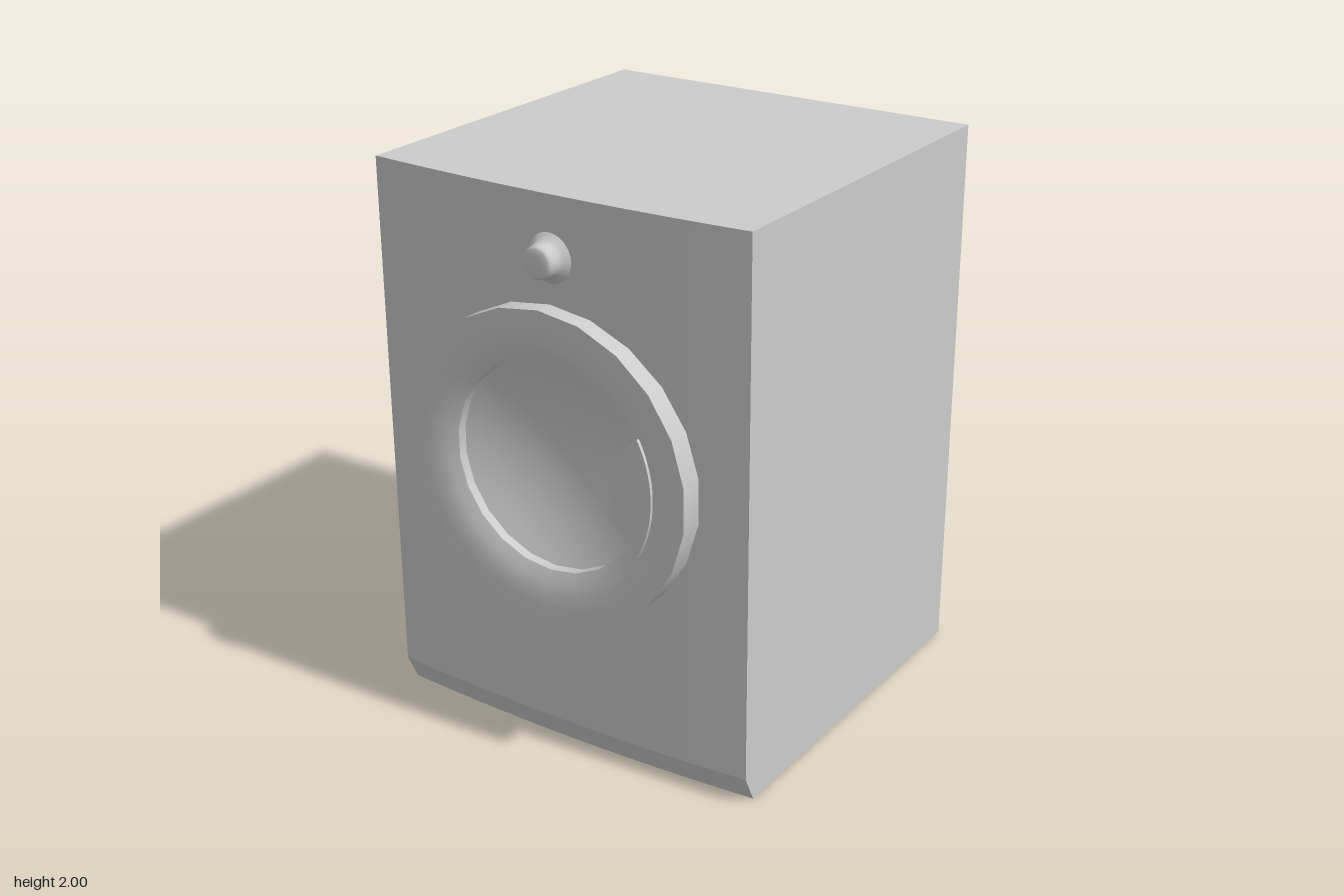
import * as THREE from 'three';

const HALF = 0.727, BACK = -0.765, KICK = 0.1, TOP = 2;
const DOOR = { x: -0.003, y: 1.077, r: 0.557 };

// Depth of the gently bowed front, which slants back below the kick line
function frontZ(x, y) {
  const mid = y < KICK ? 0.63 + 0.05 * (y / KICK) : 0.68 + 0.014 * ((y - KICK) / (TOP - KICK));
  return mid - 0.03 * (x / HALF) ** 2;
}

// Lathe turned to face +z; points are [radius, z]
function turned(points, sides) {
  return new THREE.LatheGeometry(points.map(([r, z]) => new THREE.Vector2(r, z)), sides).rotateX(Math.PI / 2);
}

// Box without its front face, front edges following the bowed line
function cabinetShell() {
  const geo = new THREE.BoxGeometry(2 * HALF, 2, 2, 16, 2, 1);
  const pos = geo.attributes.position;
  for (let i = 0; i < pos.count; i++) {
    const x = pos.getX(i), v = pos.getY(i);
    const y = v < -0.5 ? 0 : v > 0.5 ? TOP : KICK;
    pos.setXYZ(i, x, y, pos.getZ(i) < 0 ? BACK : frontZ(x, y));
  }
  const front = geo.groups[4];
  const index = Array.from(geo.index.array);
  index.splice(front.start, front.count);
  geo.setIndex(index);
  geo.clearGroups();
  return geo;
}

// Front sheet running from the round door opening out to the rectangle edge
function frontPanel() {
  const n = 16, steps = 8, hole = 0.5, edge = [];
  const corners = [[HALF, KICK], [HALF, TOP], [-HALF, TOP], [-HALF, KICK]];
  corners.forEach(([x, y], c) => {
    const [x2, y2] = corners[(c + 1) % 4];
    for (let i = 0; i < n; i++) edge.push([x + (x2 - x) * i / n, y + (y2 - y) * i / n]);
  });
  const pos = [], index = [], count = edge.length;
  for (let s = 0; s <= steps; s++) {
    for (const [ex, ey] of edge) {
      const a = Math.atan2(ey - DOOR.y, ex - DOOR.x), t = s / steps;
      const x = THREE.MathUtils.lerp(DOOR.x + hole * Math.cos(a), ex, t);
      const y = THREE.MathUtils.lerp(DOOR.y + hole * Math.sin(a), ey, t);
      pos.push(x, y, frontZ(x, y));
    }
  }
  for (let s = 0; s < steps; s++) {
    for (let i = 0; i < count; i++) {
      const a = s * count + i, b = s * count + (i + 1) % count;
      index.push(a, a + count, b, b, a + count, b + count);
    }
  }
  const geo = new THREE.BufferGeometry();
  geo.setAttribute('position', new THREE.Float32BufferAttribute(pos, 3));
  geo.setIndex(index);
  geo.computeVertexNormals();
  return geo;
}

// Slanted strip along the foot of the front
function kickStrip() {
  const geo = new THREE.PlaneGeometry(2 * HALF, KICK, 16, 1).translate(0, KICK / 2, 0);
  const pos = geo.attributes.position;
  for (let i = 0; i < pos.count; i++) pos.setZ(i, frontZ(pos.getX(i), pos.getY(i)));
  geo.computeVertexNormals();
  return geo;
}

// Lens-shaped plate between the door ring and a finger-grip arc
function handlePlate() {
  const shape = new THREE.Shape();
  const a = Math.asin(0.205 / 0.43), b = 0.965;
  shape.absarc(0, 0, 0.43, -a, a, false);
  shape.absarc(0.52, 0, 0.249, Math.PI - b, Math.PI + b, false);
  return new THREE.ExtrudeGeometry(shape, { depth: 0.04, bevelEnabled: false, curveSegments: 12 })
    .translate(0, 0, 0.72);
}

export function createModel() {
  const model = new THREE.Group();
  const material = new THREE.MeshStandardMaterial({ color: 0xcccccc, side: THREE.DoubleSide });
  const add = (name, geo, parent = model) => {
    const mesh = new THREE.Mesh(geo, material);
    mesh.name = name;
    parent.add(mesh);
    return mesh;
  };

  // Cabinet
  add('cabinet', cabinetShell());
  add('frontPanel', frontPanel());
  add('kickStrip', kickStrip());

  // Door: separate turned pieces keep the rims crisp
  const door = new THREE.Group();
  door.name = 'door';
  door.position.set(DOOR.x, DOOR.y, 0);
  model.add(door);
  const sides = 22, rim = 0.373;
  add('doorOuterWall', turned([[DOOR.r, 0.64], [DOOR.r, 0.757]], sides), door);
  add('doorRing', turned([[DOOR.r, 0.757], [0.5, 0.757], [0.45, 0.752], [0.41, 0.742], [rim, 0.725]], sides), door);
  add('doorInnerWall', turned([[rim, 0.725], [rim, 0.69]], sides), door);
  const bowl = [];
  for (let i = 0; i <= 8; i++) {
    const t = 1 - i / 8;
    bowl.push([rim * t, 0.6 + 0.09 * t * t]);
  }
  add('doorBowl', turned(bowl, sides), door);
  add('doorHandle', handlePlate(), door);

  // Knob with a flared base and rounded cap
  const knob = turned([[0.092, 0.685], [0.08, 0.698], [0.067, 0.708], [0.06, 0.722], [0.057, 0.745],
    [0.054, 0.757], [0.046, 0.763], [0.025, 0.765], [0, 0.765]], 24);
  add('knob', knob).position.set(0, 1.79, 0);

  return model;
}
